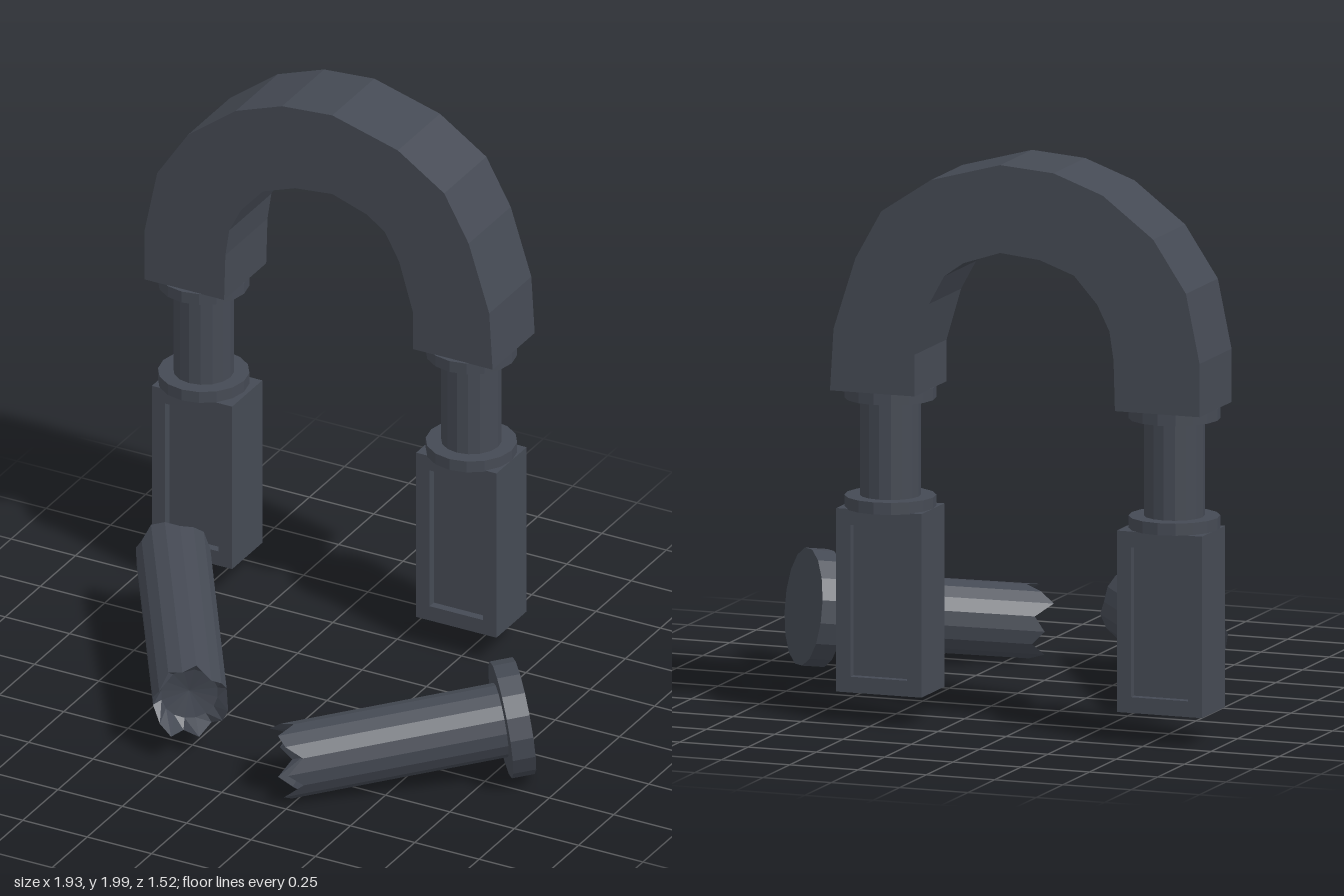
import * as THREE from 'three';

const SIDES = 16;
const Z = -0.607; // depth plane of the standing gateway

export function createModel() {
  const model = new THREE.Group();
  model.name = 'ruinedArchway';
  const stone = new THREE.MeshStandardMaterial({ color: 0x454a54, flatShading: true });
  stone.name = 'dark slate stone';

  const add = (parent, name, geometry, x = 0, y = 0, z = 0) => {
    const mesh = new THREE.Mesh(geometry, stone);
    mesh.name = name;
    mesh.position.set(x, y, z);
    parent.add(mesh);
    return mesh;
  };
  const toShape = (pts) => new THREE.Shape(pts.map(([x, y]) => new THREE.Vector2(x, y)));
  const extrude = (shape, depth) =>
    new THREE.ExtrudeGeometry(shape, { depth, bevelEnabled: false }).translate(0, 0, -depth / 2);

  // Faceted horseshoe arch: outer edge left to right, then inner edge back
  const arch = toShape([
    [-0.965, 1.175], [-0.965, 1.36], [-0.915, 1.6], [-0.795, 1.78], [-0.61, 1.92], [-0.43, 1.985],
    [-0.235, 2], [0.02, 1.93], [0.2, 1.81], [0.295, 1.64], [0.375, 1.39], [0.388, 1.175],
    [0.078, 1.175], [0.078, 1.32], [0.025, 1.5], [-0.03, 1.6], [-0.1, 1.65], [-0.235, 1.695],
    [-0.38, 1.68], [-0.505, 1.635], [-0.59, 1.54], [-0.635, 1.45], [-0.65, 1.35], [-0.655, 1.175],
  ]);
  add(model, 'arch', extrude(arch, 0.3), 0, 0, -0.618);

  // Pedestal with a sunken panel front and back
  const pedestal = (group, x, bottom, top) => {
    const w = 0.156, i = 0.104, b = bottom + 0.055, t = top - 0.055;
    const frame = toShape([[-w, bottom], [w, bottom], [w, top], [-w, top]]);
    frame.holes.push(toShape([[-i, b], [-i, t], [i, t], [i, b]]));
    add(group, 'pedestalFrame', extrude(frame, 0.215), x, 0, Z);
    add(group, 'pedestalPanel', new THREE.BoxGeometry(i * 2, t - b, 0.155), x, (b + t) / 2, Z);
  };

  // Two standing supports
  for (const [name, x, px, top] of [['rightSupport', -0.81, -0.797, 0.75], ['leftSupport', 0.23, 0.23, 0.757]]) {
    const g = new THREE.Group();
    g.name = name;
    model.add(g);
    add(g, 'columnShaft', new THREE.CylinderGeometry(0.104, 0.104, 0.36, SIDES), x, 0.965, Z);
    for (const [ring, y] of [['capitalRing', 1.155], ['baseRing', 0.775]]) {
      add(g, ring, new THREE.CylinderGeometry(0.157, 0.157, 0.042, SIDES), x, y, Z);
    }
    pedestal(g, px, 0.12, top);
  }

  // Broken shaft: a hollow-ended lathe whose rims are pushed up and down into teeth
  const teeth = [0.05, -0.02, 0.03, -0.03, 0.02, 0.035, -0.03, 0.01, 0.045, -0.025, 0.015, -0.02, 0.04, 0, -0.03, 0.02];
  const brokenShaft = (radius, length, lowAmount, highAmount) => {
    const hollow = 0.07, r = radius * 0.76;
    const start = lowAmount ? [[0, hollow], [r, hollow * 0.7], [radius, 0]] : [[0, 0], [r, 0], [radius, 0]];
    const profile = [...start, [radius, length], [r, length - hollow * 0.7], [0, length - hollow]];
    const geo = new THREE.LatheGeometry(profile.map(([x, y]) => new THREE.Vector2(x, y)), SIDES);
    const p = geo.attributes.position;
    for (let s = 0; s <= SIDES; s++) {
      const low = s * 6 + 2, high = s * 6 + 3;
      p.setY(low, p.getY(low) - teeth[(s + 5) % SIDES] * lowAmount);
      p.setY(high, p.getY(high) + teeth[s % SIDES] * highAmount);
    }
    return geo;
  };

  // Group lying from one point towards another, local y along its length
  const fallen = (name, from, to) => {
    const g = new THREE.Group();
    const a = new THREE.Vector3(...from), dir = new THREE.Vector3(...to).sub(a);
    g.name = name;
    g.position.copy(a);
    g.userData.length = dir.length();
    g.quaternion.setFromUnitVectors(new THREE.Vector3(0, 1, 0), dir.normalize());
    model.add(g);
    return g;
  };

  // Fallen shaft, broken at both ends
  const shaftA = fallen('fallenShaft', [-0.72, 0.285, -0.225], [-0.22, 0.225, 0.57]);
  add(shaftA, 'brokenShaft', brokenShaft(0.129, shaftA.userData.length, 0.6, 1));

  // Fallen shaft with its round capital
  const shaftB = fallen('fallenCapitalShaft', [0.835, 0.234, 0.13], [0.205, 0.138, 0.637]);
  add(shaftB, 'fallenCapital', new THREE.CylinderGeometry(0.203, 0.203, 0.08, SIDES), 0, 0.04, 0);
  add(shaftB, 'brokenShaft', brokenShaft(0.129, shaftB.userData.length - 0.06, 0, 1), 0, 0.06, 0);

  return model;
}
